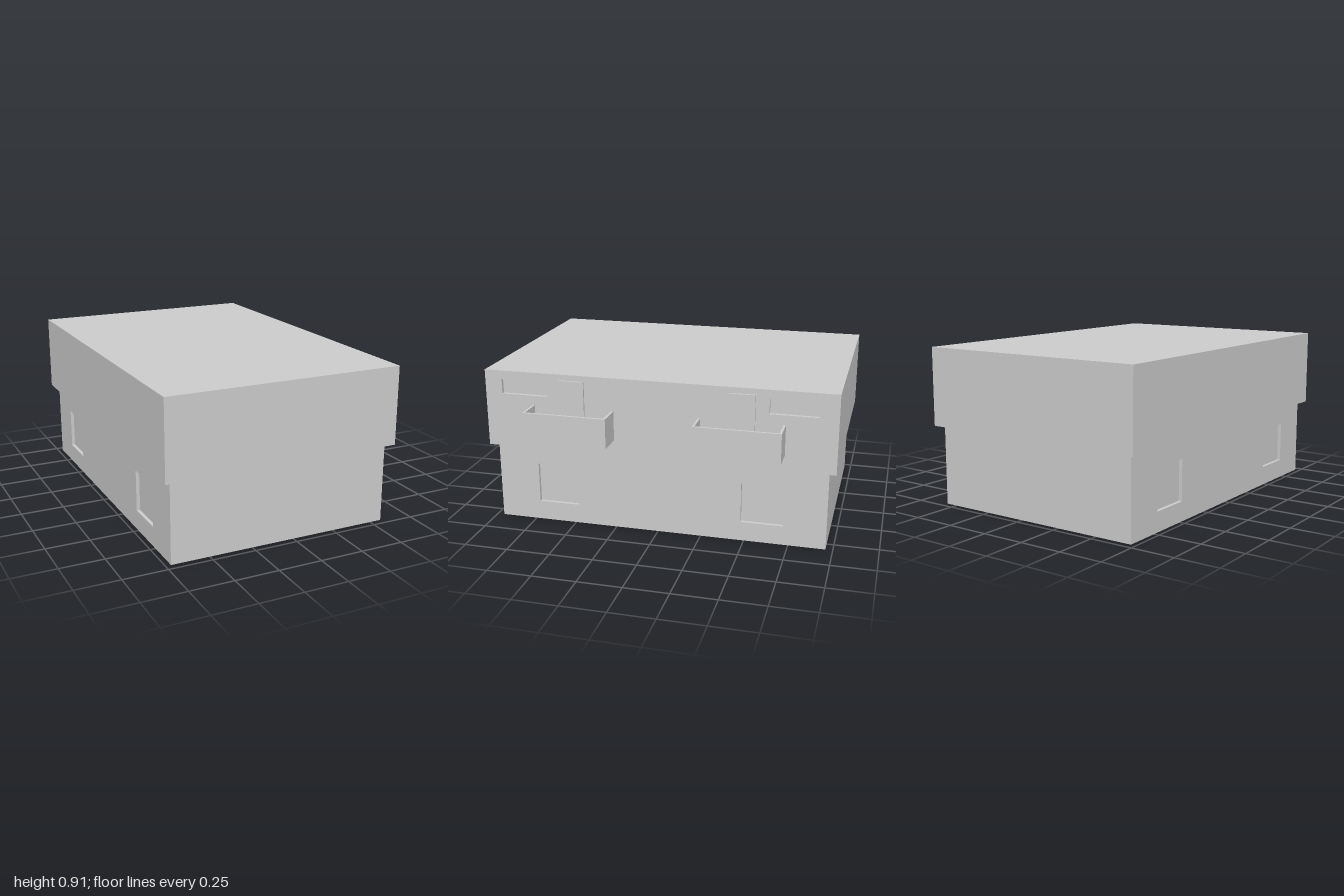
import * as THREE from 'three';

const material = new THREE.MeshStandardMaterial({ color: 0xcccccc, side: THREE.DoubleSide, flatShading: true });
const [PX, NX, PY, NY] = [0, 1, 2, 3];

function addMesh(parent, name, geometry, x = 0, y = 0, z = 0) {
  const mesh = new THREE.Mesh(geometry, material);
  mesh.name = name;
  mesh.position.set(x, y, z);
  parent.add(mesh);
  return mesh;
}

// Box given by its bounds, with the listed faces left out
function addBox(parent, name, [x0, x1], [y0, y1], [z0, z1], skip = []) {
  const g = new THREE.BoxGeometry(x1 - x0, y1 - y0, z1 - z0);
  const index = Array.from(g.index.array);
  g.setIndex(index.filter((_, i) => !skip.includes(Math.floor(i / 6))));
  g.clearGroups();
  return addMesh(parent, name, g, (x0 + x1) / 2, (y0 + y1) / 2, (z0 + z1) / 2);
}

function rectangle(Type, [x0, x1], [y0, y1]) {
  return new Type([[x0, y0], [x1, y0], [x1, y1], [x0, y1]].map(([x, y]) => new THREE.Vector2(x, y)));
}

// Side wall at the given x with mirrored pairs of recessed windows
function addSideWall(parent, name, x, side, halfDepth, height, windows) {
  const shape = rectangle(THREE.Shape, [-halfDepth, halfDepth], height);
  const recess = 0.02;
  for (const { z, y } of windows) {
    for (const m of [1, -1]) {
      const span = m > 0 ? z : [-z[1], -z[0]];
      shape.holes.push(rectangle(THREE.Path, span, y));
      const depth = side > 0 ? [x - recess, x] : [x, x + recess];
      addBox(parent, 'windowRecess', depth, y, span, [side > 0 ? PX : NX]);
    }
  }
  addMesh(parent, name, new THREE.ShapeGeometry(shape), x).rotation.y = side * Math.PI / 2;
}

// Open-topped balcony: U-shaped parapet, floor slab and door
function addBalcony(parent, side) {
  const balcony = new THREE.Group();
  balcony.name = 'balcony';
  const t = 0.014, x0 = 0.61, x1 = 0.757, h = 0.24;
  const u = new THREE.Shape([
    [x0, -h], [x1, -h], [x1, h], [x0, h],
    [x0, h - t], [x1 - t, h - t], [x1 - t, t - h], [x0, t - h],
  ].map(([x, y]) => new THREE.Vector2(x, y)));
  const parapet = new THREE.ExtrudeGeometry(u, { depth: 0.17, bevelEnabled: false });
  parapet.rotateX(-Math.PI / 2);
  addMesh(balcony, 'parapet', parapet, 0, 0.55, 0);
  addBox(balcony, 'balconyFloor', [x0, x1 - t], [0.55, 0.565], [t - h, h - t]);
  addBox(balcony, 'door', [x0, 0.622], [0.565, 0.877], [-0.073, 0.073]).position.z = 0.002 * side;
  balcony.position.z = 0.48 * side;
  parent.add(balcony);
}

export function createModel() {
  const house = new THREE.Group();
  house.name = 'house';
  const lowX = [-0.72, 0.57], topX = [-0.76, 0.61];
  const lowY = [0, 0.46], topY = [0.46, 0.91];

  // Lower storey, a shell open underneath
  const lower = new THREE.Group();
  lower.name = 'lowerStorey';
  addBox(lower, 'frontAndBackWalls', lowX, lowY, [-0.96, 0.96], [PX, NX, PY, NY]);
  const lowWindow = { z: [0.48, 0.72], y: [0.113, 0.348] };
  addSideWall(lower, 'rightWall', lowX[1], 1, 0.96, lowY, [lowWindow]);
  addSideWall(lower, 'leftWall', lowX[0], -1, 0.96, lowY, [lowWindow]);

  // Wider upper storey with a flat roof
  const upper = new THREE.Group();
  upper.name = 'upperStorey';
  addBox(upper, 'wallsAndRoof', topX, topY, [-1, 1], [PX, NY]);
  addSideWall(upper, 'balconyWall', topX[1], 1, 1, topY, [{ z: [0.63, 0.9], y: [0.775, 0.86] }]);

  // Underside of the overhang
  const ring = rectangle(THREE.Shape, topX, [-1, 1]);
  ring.holes.push(rectangle(THREE.Path, lowX, [-0.96, 0.96]));
  addMesh(upper, 'overhang', new THREE.ShapeGeometry(ring), 0, topY[0]).rotation.x = Math.PI / 2;

  for (const side of [1, -1]) addBalcony(upper, side);
  house.add(lower, upper);
  return house;
}
